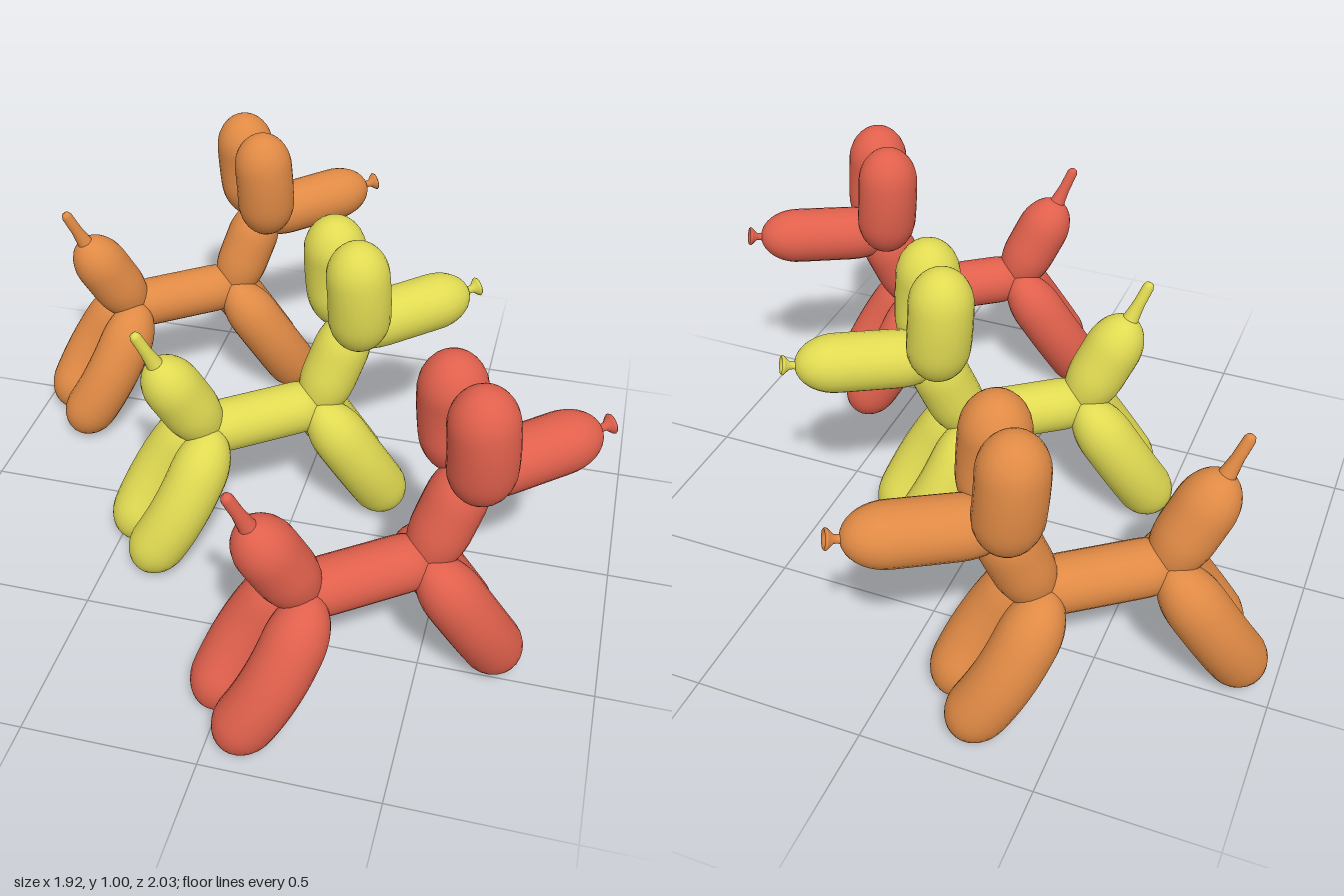
import * as THREE from 'three';

const V = (x, y, z = 0) => new THREE.Vector3(x, y, z);

// Rounded balloon swept from a to b, bowed sideways by `bow`; capA / capB are the lengths of the rounded ends
function balloon(a, b, r, capA, capB, bow = 0) {
  const control = a.clone().add(b).multiplyScalar(0.5);
  control.z += bow * 2;
  const curve = new THREE.QuadraticBezierCurve3(a, control, b);
  const length = curve.getLength(), rows = 28, sides = 24;
  const pos = [], index = [];
  const round = (s, cap) => (s >= cap ? 1 : Math.sqrt(Math.max(0, 1 - (1 - s / cap) ** 2)));
  for (let i = 0; i <= rows; i++) {
    const t = (1 - Math.cos((Math.PI * i) / rows)) / 2;
    const p = curve.getPointAt(t), T = curve.getTangentAt(t);
    const n1 = V(0, 0, 1).addScaledVector(T, -T.z).normalize();
    const n2 = T.clone().cross(n1);
    const radius = Math.max(0.0004, r * round(t * length, capA) * round((1 - t) * length, capB));
    for (let j = 0; j < sides; j++) {
      const w = (j / sides) * Math.PI * 2;
      const q = p.clone().addScaledVector(n1, Math.cos(w) * radius).addScaledVector(n2, Math.sin(w) * radius);
      pos.push(q.x, q.y, q.z);
      if (i < rows) {
        const k = (j + 1) % sides, m = i * sides, n = m + sides;
        index.push(m + j, m + k, n + j, m + k, n + k, n + j);
      }
    }
  }
  const g = new THREE.BufferGeometry();
  g.setAttribute('position', new THREE.Float32BufferAttribute(pos, 3));
  g.setIndex(index);
  g.computeVertexNormals();
  return g;
}

// Lathe whose axis runs from a towards b
function latheAlong(a, b, profile) {
  const g = new THREE.LatheGeometry(profile.map(([x, y]) => new THREE.Vector2(x, y)), 20);
  g.applyQuaternion(new THREE.Quaternion().setFromUnitVectors(V(0, 1, 0), b.clone().sub(a).normalize()));
  return g.translate(a.x, a.y, a.z);
}

function dogParts() {
  const parts = [
    ['body', balloon(V(-0.215, 0.415), V(0.19, 0.415), 0.08, 0.09, 0.09)],
    ['neck', balloon(V(0.155, 0.375), V(0.295, 0.71), 0.085, 0.15, 0.13)],
    ['nose', balloon(V(0.23, 0.66), V(0.668, 0.702), 0.086, 0.15, 0.12)],
    ['tail', balloon(V(-0.17, 0.385), V(-0.34, 0.695), 0.087, 0.15, 0.12)],
  ];
  // Paired lobes: legs and ears bow away from each other
  for (const [side, s] of [['left', -1], ['right', 1]]) {
    parts.push(
      [side + 'RearLeg', balloon(V(-0.175, 0.445, 0.04 * s), V(-0.437, 0.015, 0.06 * s), 0.087, 0.15, 0.11, 0.05 * s)],
      [side + 'FrontLeg', balloon(V(0.145, 0.445, 0.04 * s), V(0.402, 0.015, 0.06 * s), 0.087, 0.15, 0.11, 0.05 * s)],
      [side + 'Ear', balloon(V(0.275, 0.645, 0.05 * s), V(0.25, 0.998, 0.06 * s), 0.093, 0.12, 0.11, 0.03 * s)],
    );
  }
  // Thin uninflated tail tip
  parts.push(['tailTip', latheAlong(V(-0.315, 0.65), V(-0.392, 0.81),
    [[0.034, 0], [0.024, 0.05], [0.018, 0.1], [0.017, 0.16], [0.012, 0.172], [0, 0.177]])]);
  // Tied knot with a flared, rolled lip
  parts.push(['knot', latheAlong(V(0.655, 0.701), V(0.7, 0.71),
    [[0.022, 0], [0.011, 0.014], [0.012, 0.028], [0.026, 0.042], [0.029, 0.047], [0.026, 0.052], [0.018, 0.049], [0.009, 0.041], [0, 0.038]])]);
  return parts;
}

export function createModel() {
  const model = new THREE.Group();
  const parts = dogParts();
  const dogs = [
    ['red', 0xe0604c, 0.365, 0.605],
    ['yellow', 0xe0da52, -0.08, 0.005],
    ['orange', 0xe08a45, -0.525, -0.595],
  ];
  for (const [name, color, x, z] of dogs) {
    const material = new THREE.MeshStandardMaterial({ color });
    material.name = name;
    const dog = new THREE.Group();
    dog.name = name + 'BalloonDog';
    for (const [part, geometry] of parts) {
      const mesh = new THREE.Mesh(geometry, material);
      mesh.name = part;
      dog.add(mesh);
    }
    dog.position.set(x, 0, z);
    dog.rotation.y = 0.637;
    model.add(dog);
  }
  return model;
}
